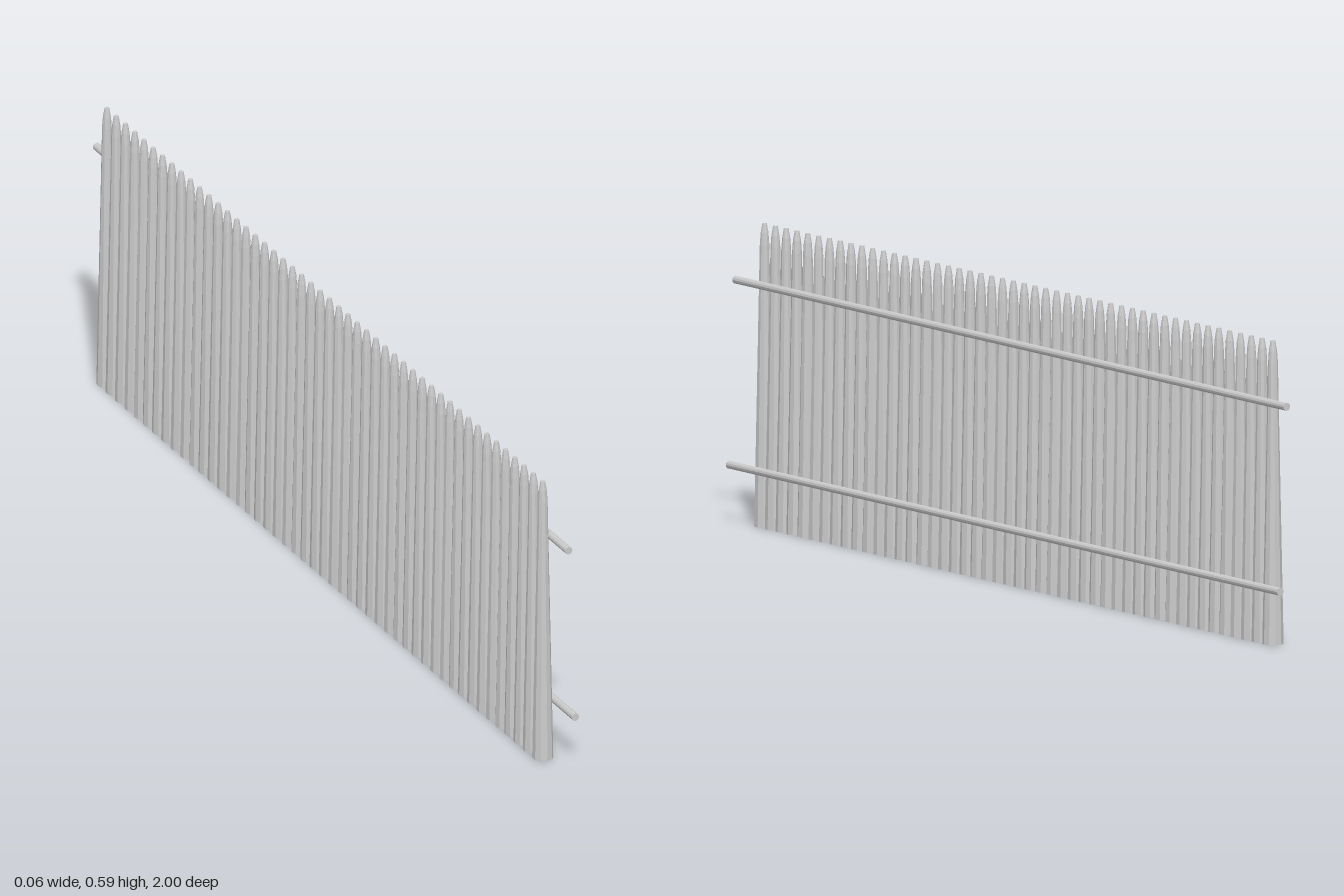
import * as THREE from 'three';

export function createModel() {
  const group = new THREE.Group();
  group.name = 'palisadeFence';
  const material = new THREE.MeshStandardMaterial({ color: 0xcccccc, flatShading: true });

  // Tapered stake with a blunt, rounded-off point
  const profile = [
    [0, 0], [0.0205, 0], [0.0095, 0.545], [0.0078, 0.568], [0.0045, 0.587], [0, 0.587],
  ].map(([r, y]) => new THREE.Vector2(r, y));
  const stakeGeometry = new THREE.LatheGeometry(profile, 10);

  // Row of stakes, each turned a little differently
  const count = 48;
  const firstZ = 0.92;
  const lastZ = -0.925;
  for (let i = 0; i < count; i++) {
    const stake = new THREE.Mesh(stakeGeometry, material);
    stake.name = `stake${i + 1}`;
    stake.position.set(-0.0095, 0, THREE.MathUtils.lerp(firstZ, lastZ, i / (count - 1)));
    stake.rotation.y = i * 2.4;
    group.add(stake);
  }

  // Two round rails resting against the +x side of the stakes
  const railGeometry = new THREE.CylinderGeometry(0.0078, 0.0078, 2, 12).rotateX(Math.PI / 2);
  const addRail = (name, x, y) => {
    const rail = new THREE.Mesh(railGeometry, material);
    rail.name = name;
    rail.position.set(x, y, 0);
    group.add(rail);
  };
  addRail('upperRail', 0.006, 0.469);
  addRail('lowerRail', 0.0205, 0.112);

  return group;
}
